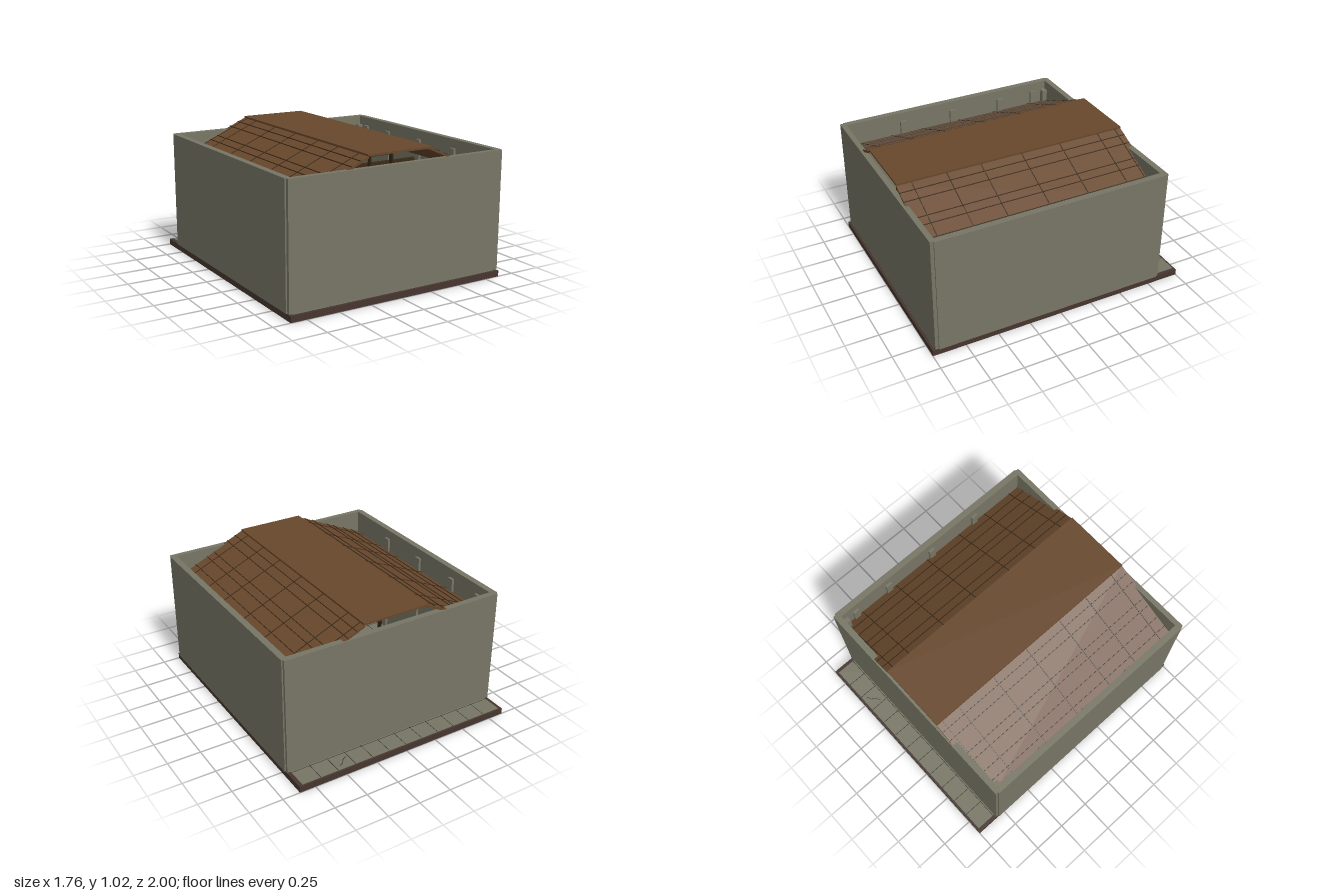
import * as THREE from 'three';

const mat = (name, color) => new THREE.MeshStandardMaterial({ name, color });

export function createModel() {
  const model = new THREE.Group();
  model.name = 'walledHall';
  const stone = mat('grey stone', 0x777665);
  const earth = mat('dark earth', 0x46352f);
  const wood = mat('brown wood', 0x68482c);
  const darkWood = mat('dark wood', 0x3a2917);
  const joint = mat('joint', 0x35342c);

  // Box given by its min and max on each axis
  const box = (name, m, x0, x1, y0, y1, z0, z1, parent = model) => {
    const mesh = new THREE.Mesh(new THREE.BoxGeometry(x1 - x0, y1 - y0, z1 - z0), m);
    mesh.position.set((x0 + x1) / 2, (y0 + y1) / 2, (z0 + z1) / 2);
    mesh.name = name;
    parent.add(mesh);
    return mesh;
  };

  // Base slab and tiled floor
  box('base', earth, -0.87, 0.87, 0, 0.045, -1, 1);
  box('floor', stone, -0.843, 0.843, 0.045, 0.049, -0.985, 0.98);
  for (let i = -5; i <= 5; i++) {
    box('floorJoint', joint, i * 0.14 - 0.002, i * 0.14 + 0.002, 0.046, 0.0498, -0.985, 0.98);
  }
  for (let i = 0; i < 13; i++) {
    const z = -0.84 + i * 0.14;
    box('floorJoint', joint, -0.843, 0.843, 0.046, 0.0498, z - 0.002, z + 0.002);
  }

  // Crack in a rear floor tile
  const crack = [[0.44, -0.885], [0.47, -0.9], [0.48, -0.915], [0.495, -0.935], [0.53, -0.95]];
  for (let i = 0; i < crack.length - 1; i++) {
    const [ax, az] = crack[i], [bx, bz] = crack[i + 1];
    const len = Math.hypot(bx - ax, bz - az);
    const seg = box('floorCrack', joint, -len / 2, len / 2, 0.047, 0.0502, -0.002, 0.002);
    seg.position.x = (ax + bx) / 2;
    seg.position.z = (az + bz) / 2;
    seg.rotation.y = -Math.atan2(bz - az, bx - ax);
  }

  // Walls, the side walls standing slightly proud at the corners
  box('frontWall', stone, -0.87, 0.87, 0.05, 0.94, 0.94, 0.98);
  box('backWall', stone, -0.87, 0.87, 0.05, 0.94, -0.83, -0.785);
  for (const s of [-1, 1]) {
    box('sideWall', stone, s > 0 ? 0.833 : -0.88, s > 0 ? 0.88 : -0.833, 0.05, 0.94, -0.81, 0.955);
    // Pilasters on the inner faces
    for (const z of [-0.67, -0.36, 0.06, 0.485]) {
      const p = box('pilaster', stone, -0.011, 0.011, 0.05, 0.87, z - 0.025, z + 0.025);
      p.position.x = s * 0.825;
    }
    const c = box('cornerPilaster', stone, -0.02, 0.02, 0.05, 0.87, -0.785, -0.745);
    c.position.x = s * 0.81;
  }

  // Roof: flat crown and two slopes
  const zBack = -0.82, zFront = 0.96;
  const frames = [-0.77, -0.62, -0.3, 0.01, 0.33, 0.59, 0.85];
  box('roofCrown', wood, -0.262, 0.262, 1.01, 1.025, zBack, zFront);
  const angle = Math.atan(0.44), length = 0.57 / Math.cos(angle);
  for (const s of [-1, 1]) {
    const side = new THREE.Group();
    side.name = 'roofSide';
    side.scale.x = s;
    const slope = new THREE.Group();
    slope.name = 'roofSlope';
    slope.position.set(0.26, 1.012, 0);
    slope.rotation.z = -angle;
    side.add(slope);
    model.add(side);
    box('roofPanel', wood, 0, length, -0.016, 0, zBack, zFront, slope);
    // Lengthwise battens and cross battens
    for (const x of [0.32, 0.39, 0.52, 0.58, 0.68, 0.76]) {
      const d = (x - 0.26) / Math.cos(angle);
      box('batten', darkWood, d - 0.0025, d + 0.0025, -0.002, 0.005, zBack, zFront, slope);
    }
    for (const z of frames) {
      box('crossBatten', darkWood, 0, length, -0.002, 0.003, z - 0.003, z + 0.003, slope);
    }
  }

  // Timber frames beneath the roof
  for (const z of frames.slice(1)) {
    box('kingPost', darkWood, -0.004, 0.004, 0.72, 1.01, z - 0.02, z + 0.02);
    box('tieBeam', darkWood, -0.82, 0.82, 0.69, 0.72, z - 0.015, z + 0.015);
  }
  return model;
}
